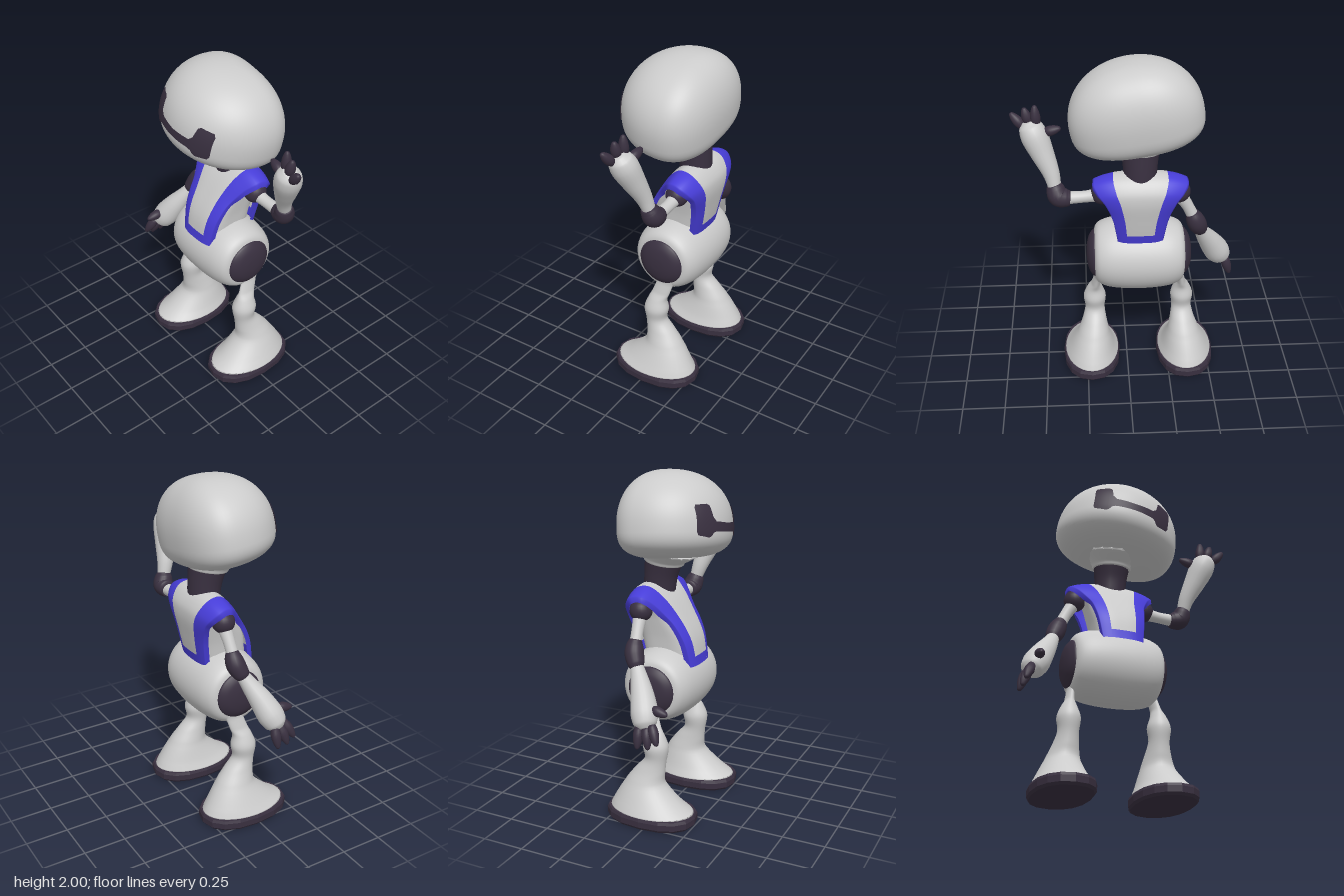
import * as THREE from 'three';

const mat = (color, extra = {}) => new THREE.MeshStandardMaterial({ color, ...extra });
const GREY = mat(0xcccccc), DARK = mat(0x393040), SOLE = mat(0x393040, { flatShading: true });
const GREY2 = mat(0xcccccc, { side: THREE.DoubleSide });
const BLUE2 = mat(0x473dd8, { side: THREE.DoubleSide });
const DARK2 = mat(0x393040, { side: THREE.DoubleSide });
const AXIS = -0.07; // middle plane of the body
const V = (x, y, z) => new THREE.Vector3(x, y, z);
const spow = (v, e) => Math.sign(v) * Math.abs(v) ** e;

function mesh(parent, name, geo, material) {
  const m = new THREE.Mesh(geo, material);
  m.name = name;
  parent.add(m);
  return m;
}

// Surface through rows of points; closed rows wrap around
function skin(rows, closed = true) {
  const n = rows[0].length, index = [];
  for (let i = 0; i < rows.length - 1; i++)
    for (let j = 0; j < (closed ? n : n - 1); j++) {
      const a = i * n + j, b = i * n + (j + 1) % n;
      index.push(a, a + n, b, b, a + n, b + n);
    }
  const geo = new THREE.BufferGeometry().setFromPoints(rows.flat());
  geo.setIndex(index);
  geo.computeVertexNormals();
  return geo;
}

// Horizontal superellipse rings [y, cx, cz, rx, rz], smoothed and capped
function stack(rings, { n = 2, seg = 32, sub = 6 } = {}) {
  const mid = new THREE.CatmullRomCurve3(rings.map(r => V(r[1], r[0], r[2])));
  const rad = new THREE.CatmullRomCurve3(rings.map(r => V(r[3], r[4], 0)));
  const total = (rings.length - 1) * sub, rows = [];
  const ring = (t, k) => {
    const c = mid.getPoint(t), r = rad.getPoint(t);
    return Array.from({ length: seg }, (_, j) => {
      const a = j / seg * Math.PI * 2;
      return V(c.x + k * r.x * spow(Math.cos(a), 2 / n), c.y, c.z + k * r.y * spow(Math.sin(a), 2 / n));
    });
  };
  rows.push(ring(0, 0.001));
  for (let i = 0; i <= total; i++) rows.push(ring(i / total, 1));
  rows.push(ring(1, 0.001));
  return skin(rows);
}

// Round limb through [x, y, z, radius]
function limb(pts, seg = 20, sub = 6) {
  const path = new THREE.CatmullRomCurve3(pts.map(p => V(p[0], p[1], p[2])));
  const rad = new THREE.CatmullRomCurve3(pts.map((p, i) => V(p[3], i * 0.05, 0)));
  const total = (pts.length - 1) * sub, rows = [];
  const ring = (t, k) => {
    const c = path.getPoint(t), T = path.getTangent(t), r = Math.max(rad.getPoint(t).x, 0.001) * k;
    const N = V(0, 0, 1).cross(T);
    if (N.length() < 0.2) N.copy(V(0, 1, 0).cross(T));
    N.normalize();
    const B = N.clone().cross(T);
    return Array.from({ length: seg }, (_, j) => {
      const a = j / seg * Math.PI * 2;
      return c.clone().addScaledVector(N, r * Math.cos(a)).addScaledVector(B, r * Math.sin(a));
    });
  };
  rows.push(ring(0, 0.01));
  for (let i = 0; i <= total; i++) rows.push(ring(i / total, 1));
  rows.push(ring(1, 0.01));
  return skin(rows);
}

// Tapered finger from base to tip
function finger(a, b, r) {
  const at = (t, k) => [...a.map((v, i) => v + (b[i] - v) * t), r * k];
  return limb([at(0, 0.75), at(0.35, 1), at(0.7, 0.8), at(0.95, 0.4), at(1, 0.1)], 12, 3);
}

function buildHead() {
  const head = new THREE.Group();
  head.name = 'head';
  head.position.set(-0.04, 1.735, 0);
  head.rotation.set(-0.1, 0, -0.17);
  const W = 0.375, Y0 = -0.06, Z0 = -0.06, UP = 0.32, DOWN = 0.18;
  const rows = [];
  for (let i = 0; i <= 40; i++) {
    const a = (i / 40 - 0.5) * Math.PI, p = a < 0 ? 3 : 2.2;
    const s = Math.max(Math.cos(a), 0) ** (2 / p), y = Y0 + (a < 0 ? DOWN : UP) * spow(Math.sin(a), 2 / p);
    rows.push(Array.from({ length: 64 }, (_, j) => {
      const b = j / 64 * Math.PI * 2, back = Math.sin(b) < 0, e = back ? 0.8 : 1;
      return V(W * s * spow(Math.cos(b), e), y, Z0 + (back ? 0.24 : 0.355) * s * spow(Math.sin(b), e));
    }));
  }
  mesh(head, 'headShell', skin(rows), GREY);

  // Visor: two blocks joined by a bar, laid on the face; columns are [x, top, bottom]
  const face = (x, y) => {
    const up = y > Y0, p = up ? 2.2 : 3;
    const s = 1.015 * (1 - Math.abs((y - Y0) / (up ? UP : DOWN)) ** p) ** (1 / p);
    return V(x, y, Z0 + 0.355 * s * Math.sqrt(1 - (x / (W * s)) ** 2));
  };
  const half = [[0.237, 0.03, -0.09], [0.226, 0.05, -0.112], [0.16, 0.055, -0.125], [0.146, 0.045, -0.115],
    [0.136, -0.015, -0.1], [0.115, -0.038, -0.092], [0, -0.045, -0.092]];
  const cols = [...half, ...half.slice(0, -1).reverse().map(c => [-c[0], c[1], c[2]])];
  const strips = [];
  for (let i = 0; i < cols.length - 1; i++)
    for (let k = 0; k < 5; k++) {
      const [x, t, b] = cols[i].map((v, q) => v + (cols[i + 1][q] - v) * k / 5);
      strips.push(Array.from({ length: 11 }, (_, j) => face(x, b + (t - b) * j / 10)));
    }
  mesh(head, 'visor', skin(strips, false), DARK2);
  return head;
}

function buildTorso() {
  const torso = new THREE.Group();
  torso.name = 'torso';
  mesh(torso, 'torsoCore', stack([
    [0.86, AXIS, -0.01, 0.122, 0.14], [1.05, AXIS, -0.04, 0.134, 0.155], [1.18, AXIS, -0.09, 0.155, 0.132],
    [1.27, AXIS, -0.12, 0.18, 0.095], [1.32, AXIS, -0.13, 0.17, 0.06]], { n: 3.2, seg: 48 }), GREY);

  // Vest running up the chest, over the shoulders and down the back: [z, y, half width, edge droop]
  const prof = [[0.165, 0.9, 0.122, 0.02], [0.137, 1.05, 0.143, 0.025], [0.07, 1.18, 0.168, 0.03],
    [-0.02, 1.305, 0.22, 0.04], [-0.1, 1.365, 0.265, 0.05], [-0.18, 1.352, 0.27, 0.05],
    [-0.235, 1.285, 0.24, 0.04], [-0.245, 1.22, 0.2, 0.03], [-0.225, 1.09, 0.155, 0.025], [-0.195, 0.94, 0.13, 0.02]];
  const line = new THREE.CatmullRomCurve3(prof.map(p => V(0, p[1], p[0])));
  const wide = new THREE.CatmullRomCurve3(prof.map(p => V(p[2], p[3], 0)));
  const vestPoint = (t, u, lip) => {
    const p = line.getPoint(t), w = wide.getPoint(t);
    const inward = V(0, Math.min(p.y, 1.15), -0.07).sub(p).normalize();
    p.addScaledVector(inward, w.y * Math.abs(u) ** 3 + lip);
    p.x = AXIS + u * w.x;
    return p;
  };
  const vest = (name, u0, u1, t0, t1, material) => {
    const rows = [];
    for (let i = 0; i <= 48; i++) {
      const t = t0 + (t1 - t0) * i / 48;
      const row = Array.from({ length: 13 }, (_, j) => vestPoint(t, u0 + (u1 - u0) * j / 12, 0));
      if (u0 === -1) row.unshift(vestPoint(t, -1, 0.03));
      if (u1 === 1) row.push(vestPoint(t, 1, 0.03));
      rows.push(row);
    }
    mesh(torso, name, skin(rows, false), material);
  };
  vest('chestPanel', -0.57, 0.57, 0.04, 0.96, GREY2);
  vest('leftStripe', 0.57, 1, 0, 1, BLUE2);
  vest('rightStripe', -1, -0.57, 0, 1, BLUE2);
  vest('frontHem', -0.57, 0.57, 0, 0.04, BLUE2);
  vest('backHem', -0.57, 0.57, 0.96, 1, BLUE2);

  mesh(torso, 'neck', limb([[AXIS, 1.3, -0.11, 0.092], [AXIS, 1.4, -0.1, 0.098], [AXIS, 1.5, -0.08, 0.112]]), DARK);
  mesh(torso, 'headCollar', limb([[AXIS, 1.47, -0.08, 0.115], [AXIS, 1.5, -0.075, 0.13], [AXIS, 1.56, -0.06, 0.19]]), GREY);
  return torso;
}

function buildPelvis() {
  const pelvis = new THREE.Group();
  pelvis.name = 'pelvis';
  pelvis.position.set(AXIS, 0.783, -0.035);
  const lathe = pts => new THREE.LatheGeometry(
    new THREE.SplineCurve(pts.map(p => new THREE.Vector2(...p))).getPoints(40), 48).rotateZ(-Math.PI / 2);
  const side = [[0.14, 0.264], [0.165, 0.255], [0.188, 0.23], [0.208, 0.175], [0.219, 0.09]];
  mesh(pelvis, 'hipBarrel',
    lathe([...side.map(p => [p[0], -p[1]]), [0.222, 0], ...side.slice().reverse()]), GREY);
  for (const s of [1, -1]) {
    const cap = mesh(pelvis, s > 0 ? 'leftHipCap' : 'rightHipCap',
      lathe([[0.143, 0.258], [0.135, 0.275], [0.1, 0.297], [0.05, 0.309], [0, 0.312]]), DARK);
    if (s < 0) cap.rotation.y = Math.PI;
  }
  return pelvis;
}

function buildLeg(s) {
  const leg = new THREE.Group();
  leg.name = s > 0 ? 'leftLeg' : 'rightLeg';
  const rings = [[0.062, 0.292, -0.018, 0.168, 0.262], [0.115, 0.29, -0.045, 0.142, 0.208], [0.22, 0.28, -0.068, 0.098, 0.122],
    [0.3, 0.272, -0.04, 0.073, 0.092], [0.375, 0.268, -0.005, 0.06, 0.066], [0.445, 0.268, -0.005, 0.068, 0.076],
    [0.515, 0.266, -0.012, 0.046, 0.06], [0.56, 0.26, -0.03, 0.026, 0.057], [0.62, 0.25, -0.05, 0.021, 0.056],
    [0.68, 0.235, -0.07, 0.035, 0.08]];
  mesh(leg, 'legShell', stack(rings.map(r => [r[0], AXIS + s * r[1], ...r.slice(2)])), GREY);
  const cx = AXIS + s * 0.293;
  mesh(leg, 'sole', stack([[0, cx, -0.02, 0.165, 0.262], [0.015, cx, -0.02, 0.175, 0.275],
    [0.05, cx, -0.02, 0.176, 0.276], [0.066, cx, -0.02, 0.17, 0.268]], { n: 2.3, seg: 16, sub: 1 }), SOLE);
  return leg;
}

// Arm parts: point lists for upper arm, elbow and forearm, then finger [base, tip] pairs
function buildArm(name, shoulderX, upper, elbow, forearm, fingers) {
  const arm = new THREE.Group();
  arm.name = name;
  const ball = mesh(arm, 'shoulder', new THREE.SphereGeometry(0.066, 24, 16), DARK);
  ball.position.set(shoulderX, 1.235, -0.115);
  mesh(arm, 'upperArm', limb(upper), GREY);
  mesh(arm, 'elbow', limb(elbow), DARK);
  mesh(arm, 'forearmAndPalm', limb(forearm), GREY);
  fingers.forEach(([a, b], i) => mesh(arm, i ? 'finger' + i : 'thumb', finger(a, b, 0.029), DARK));
  return arm;
}

export function createModel() {
  const robot = new THREE.Group();
  robot.name = 'robot';
  robot.add(buildHead(), buildTorso(), buildPelvis(), buildLeg(1), buildLeg(-1));
  // Raised, waving arm
  robot.add(buildArm('leftArm', 0.145,
    [[0.15, 1.225, -0.115, 0.042], [0.24, 1.215, -0.118, 0.034], [0.35, 1.21, -0.12, 0.037]],
    [[0.325, 1.21, -0.12, 0.042], [0.35, 1.211, -0.12, 0.053], [0.39, 1.222, -0.118, 0.06], [0.408, 1.265, -0.105, 0.052], [0.415, 1.285, -0.1, 0.042]],
    [[0.408, 1.265, -0.105, 0.036], [0.427, 1.35, -0.082, 0.048], [0.472, 1.46, -0.05, 0.066], [0.51, 1.55, -0.025, 0.077],
      [0.533, 1.605, -0.01, 0.066], [0.543, 1.635, -0.005, 0.035]],
    [[[0.46, 1.575, -0.025], [0.365, 1.605, -0.035]], [[0.5, 1.615, -0.015], [0.505, 1.735, -0.015]],
      [[0.54, 1.62, 0], [0.565, 1.715, 0.0]], [[0.575, 1.6, 0.005], [0.642, 1.675, 0.025]]]));
  // Lowered arm
  robot.add(buildArm('rightArm', -0.29,
    [[-0.295, 1.215, -0.115, 0.042], [-0.345, 1.13, -0.11, 0.034], [-0.385, 1.045, -0.105, 0.036]],
    [[-0.37, 1.085, -0.108, 0.036], [-0.385, 1.05, -0.107, 0.05], [-0.402, 1.01, -0.1, 0.055], [-0.422, 0.965, -0.08, 0.048], [-0.43, 0.945, -0.07, 0.038]],
    [[-0.42, 0.965, -0.08, 0.034], [-0.452, 0.9, -0.045, 0.048], [-0.5, 0.815, 0.0, 0.066], [-0.545, 0.735, 0.035, 0.076],
      [-0.575, 0.685, 0.055, 0.064], [-0.588, 0.66, 0.065, 0.035]],
    [[[-0.545, 0.765, 0.08], [-0.55, 0.745, 0.178]], [[-0.585, 0.69, 0.1], [-0.625, 0.59, 0.15]],
      [[-0.595, 0.675, 0.07], [-0.632, 0.562, 0.1]], [[-0.6, 0.675, 0.03], [-0.635, 0.555, 0.035]]]));
  return robot;
}
